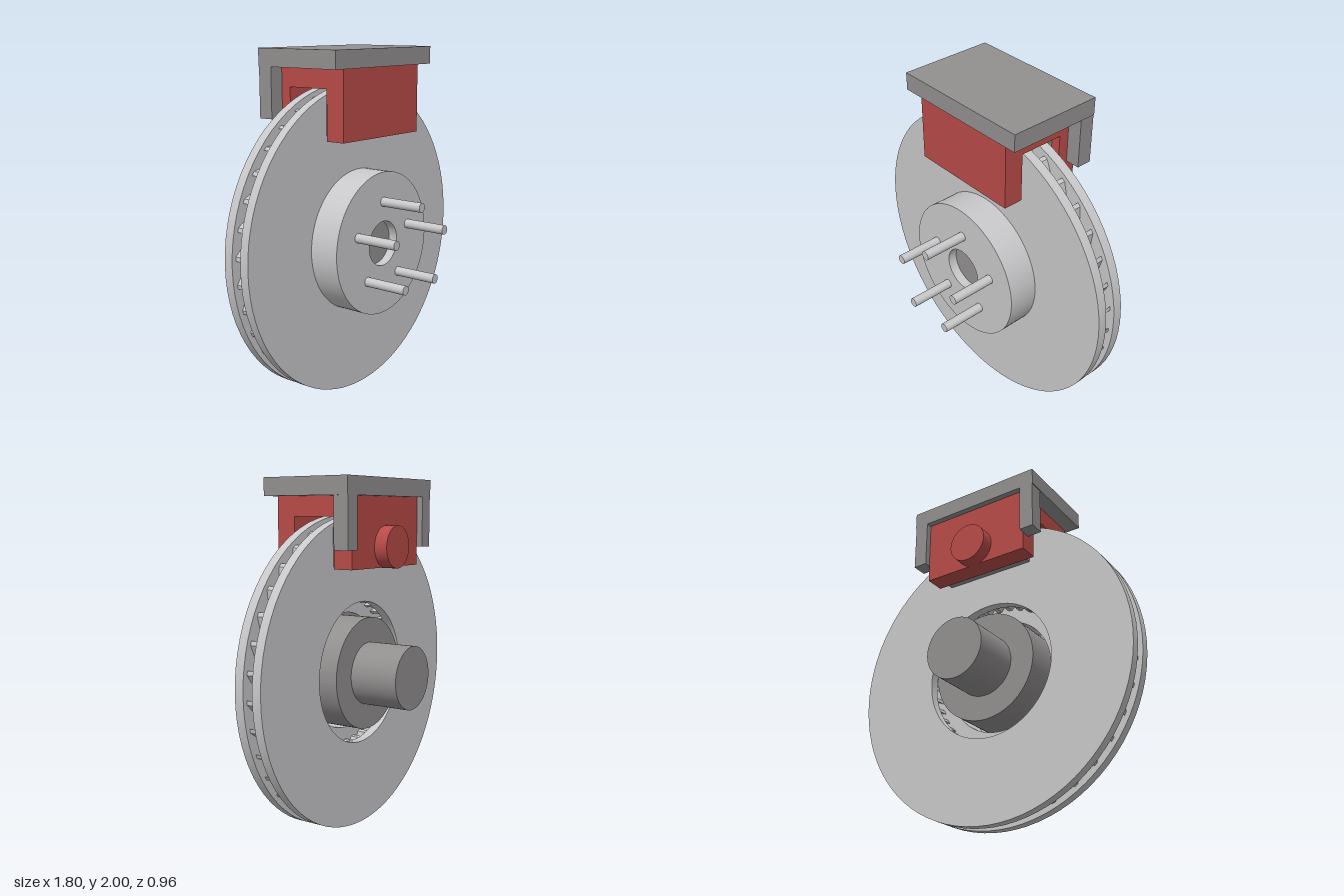
import * as THREE from 'three';
import { toCreasedNormals } from 'three/addons/utils/BufferGeometryUtils.js';

const AXLE_Y = 0.9;

export function createModel() {
  const model = new THREE.Group();
  model.name = 'discBrake';

  const steel = new THREE.MeshStandardMaterial({ name: 'lightSteel', color: 0xc8c7c9 });
  const iron = new THREE.MeshStandardMaterial({ name: 'darkIron', color: 0x928f8f });
  const red = new THREE.MeshStandardMaterial({ name: 'caliperRed', color: 0xb84b48 });

  const add = (name, geometry, material, x = 0, y = 0, z = 0, parent = model) => {
    const mesh = new THREE.Mesh(geometry, material);
    mesh.name = name;
    mesh.position.set(x, y, z);
    parent.add(mesh);
    return mesh;
  };

  // Box given by its extents on each axis
  const box = (name, material, [x0, x1], [y0, y1], [z0, z1], parent) =>
    add(name, new THREE.BoxGeometry(x1 - x0, y1 - y0, z1 - z0), material,
      (x0 + x1) / 2, (y0 + y1) / 2, (z0 + z1) / 2, parent);

  // Turned part around the axle; profile points are [radius, z], counterclockwise
  const turned = (name, material, profile) => {
    const points = profile.map(([r, z]) => new THREE.Vector2(r, z));
    const geometry = new THREE.LatheGeometry(points, 80).rotateX(Math.PI / 2);
    return add(name, toCreasedNormals(geometry, 0.6), material, 0, AXLE_Y, 0);
  };

  // Front friction ring with its hollow hat and centre bore
  turned('frontRotorAndHat', steel, [
    [0.34, -0.02], [0.9, -0.02], [0.9, 0.035], [0.415, 0.035], [0.415, 0.215],
    [0.13, 0.215], [0.13, 0.16], [0.34, 0.16], [0.34, -0.02],
  ]);

  // Rear friction ring
  turned('rearRotor', steel, [
    [0.41, -0.135], [0.9, -0.135], [0.9, -0.08], [0.41, -0.08], [0.41, -0.135],
  ]);

  // Hub flange and axle stub
  turned('hub', iron, [
    [0, -0.475], [0.18, -0.475], [0.18, -0.185], [0.323, -0.185], [0.323, 0.16], [0, 0.16],
  ]);

  // Swept cooling vanes between the two rings
  const vanes = new THREE.Group();
  vanes.name = 'coolingVanes';
  vanes.position.y = AXLE_Y;
  model.add(vanes);
  const steps = 6;
  const edge = (side) => Array.from({ length: steps + 1 }, (_, i) => {
    const t = i / steps;
    const r = 0.415 + 0.457 * t;
    const a = 0.65 * t + side * 0.012 / r;
    return new THREE.Vector2(r * Math.cos(a), r * Math.sin(a));
  });
  const vaneShape = new THREE.Shape([...edge(-1), ...edge(1).reverse()]);
  const vaneGeometry = new THREE.ExtrudeGeometry(vaneShape, { depth: 0.06, bevelEnabled: false });
  const vaneCount = 36;
  for (let i = 0; i < vaneCount; i++) {
    add('vane', vaneGeometry, steel, 0, 0, -0.08, vanes).rotation.z = (i / vaneCount) * Math.PI * 2;
  }

  // Five wheel studs
  const studGeometry = new THREE.CylinderGeometry(0.027, 0.027, 0.3, 24).rotateX(Math.PI / 2);
  for (let i = 0; i < 5; i++) {
    const a = Math.PI / 2 + (i / 5) * Math.PI * 2;
    add('wheelStud', studGeometry, steel, 0.243 * Math.cos(a), AXLE_Y + 0.243 * Math.sin(a), 0.33);
  }

  // Caliper body straddling the rotor, with its piston housing
  const caliper = new THREE.Group();
  caliper.name = 'caliper';
  model.add(caliper);
  const bodyX = [-0.336, 0.336];
  box('caliperBridge', red, bodyX, [1.79, 1.9], [-0.18, 0.085], caliper);
  box('caliperFront', red, bodyX, [1.51, 1.9], [0.085, 0.2], caliper);
  box('caliperBack', red, bodyX, [1.51, 1.9], [-0.295, -0.18], caliper);
  const piston = new THREE.CylinderGeometry(0.118, 0.118, 0.09, 48).rotateX(Math.PI / 2);
  add('pistonHousing', piston, red, 0, 1.624, -0.328, caliper);

  // Brake pads
  box('frontPad', iron, [-0.28, 0.28], [1.52, 1.735], [0.035, 0.09], caliper);
  box('rearPad', iron, [-0.28, 0.28], [1.52, 1.735], [-0.185, -0.135], caliper);

  // Mounting bracket: top plate and two rear legs
  const bracket = new THREE.Group();
  bracket.name = 'bracket';
  model.add(bracket);
  box('bracketPlate', iron, [-0.426, 0.426], [1.9, 2], [-0.33, 0.225], bracket);
  for (const s of [-1, 1]) {
    const xs = s > 0 ? [0.337, 0.422] : [-0.422, -0.337];
    box('bracketLeg', iron, xs, [1.615, 1.9], [-0.33, -0.24], bracket);
  }

  return model;
}
